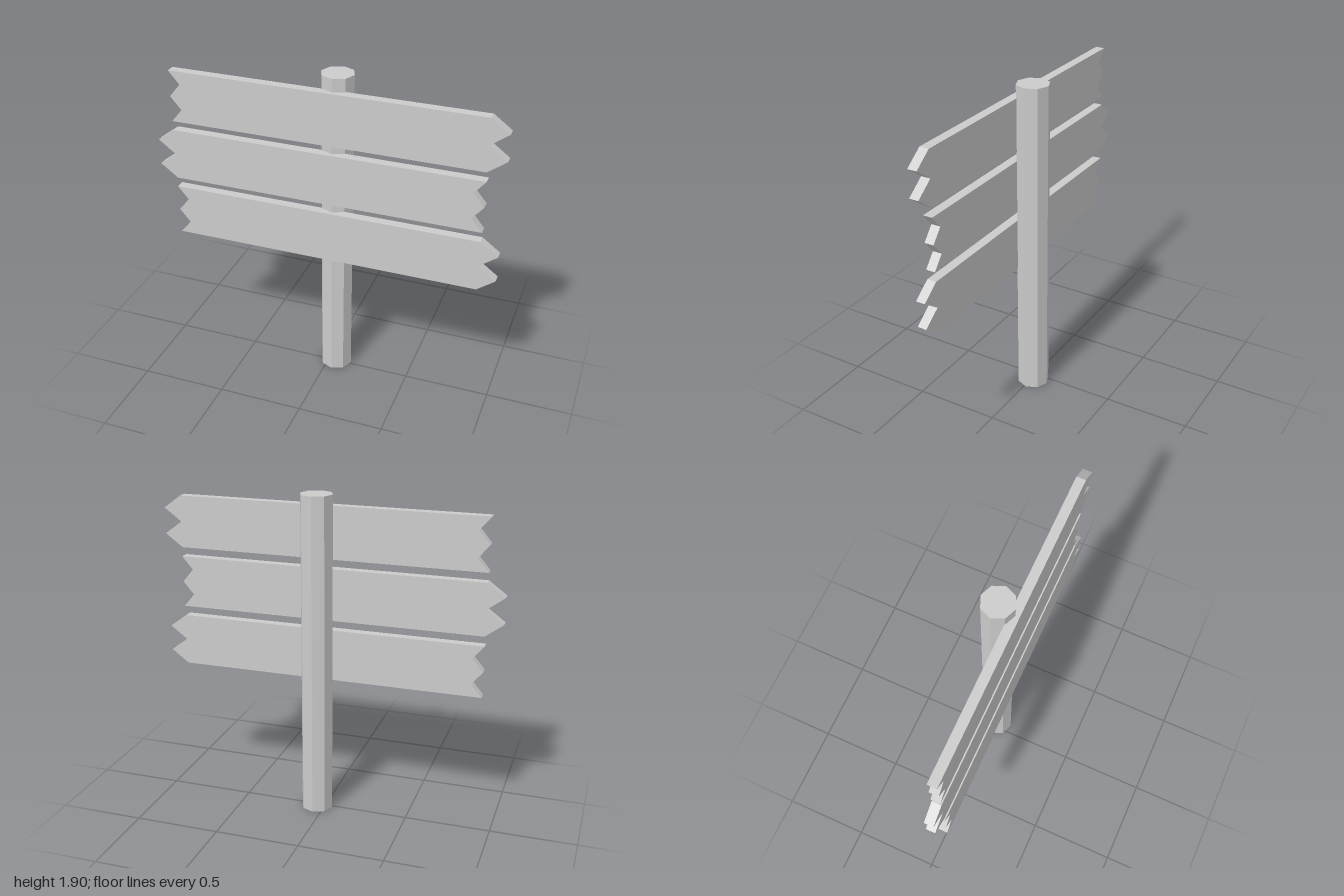
import * as THREE from 'three';

const material = new THREE.MeshStandardMaterial({ color: 0xcccccc, flatShading: true });

// Plank with two points at one end and two notches at the other; dir = +1 points to +x
function makeBoard(name, y, dir) {
  const h = 0.305, q = h / 4, end = 0.897;
  const points = [];
  for (let i = 0; i <= 4; i++) points.push(new THREE.Vector2(dir * (i % 2 ? 1 : end), i * q));
  for (let i = 4; i >= 0; i--) points.push(new THREE.Vector2(dir * (i % 2 ? -0.838 : -0.902), i * q));
  const geometry = new THREE.ExtrudeGeometry(new THREE.Shape(points), { depth: 0.054, bevelEnabled: false });
  const board = new THREE.Mesh(geometry, material);
  board.name = name;
  board.position.set(0, y, 0.051);
  return board;
}

export function createModel() {
  const group = new THREE.Group();
  group.name = 'signpost';

  // Eight-sided post, slightly off centre
  const post = new THREE.Mesh(new THREE.CylinderGeometry(0.094, 0.094, 1.905, 8), material);
  post.name = 'post';
  post.position.set(0.047, 0.9525, -0.012);
  group.add(post);

  // Boards pointing alternately to either side
  group.add(
    makeBoard('lowerBoard', 0.802, 1),
    makeBoard('middleBoard', 1.165, -1),
    makeBoard('upperBoard', 1.525, 1),
  );
  return group;
}
